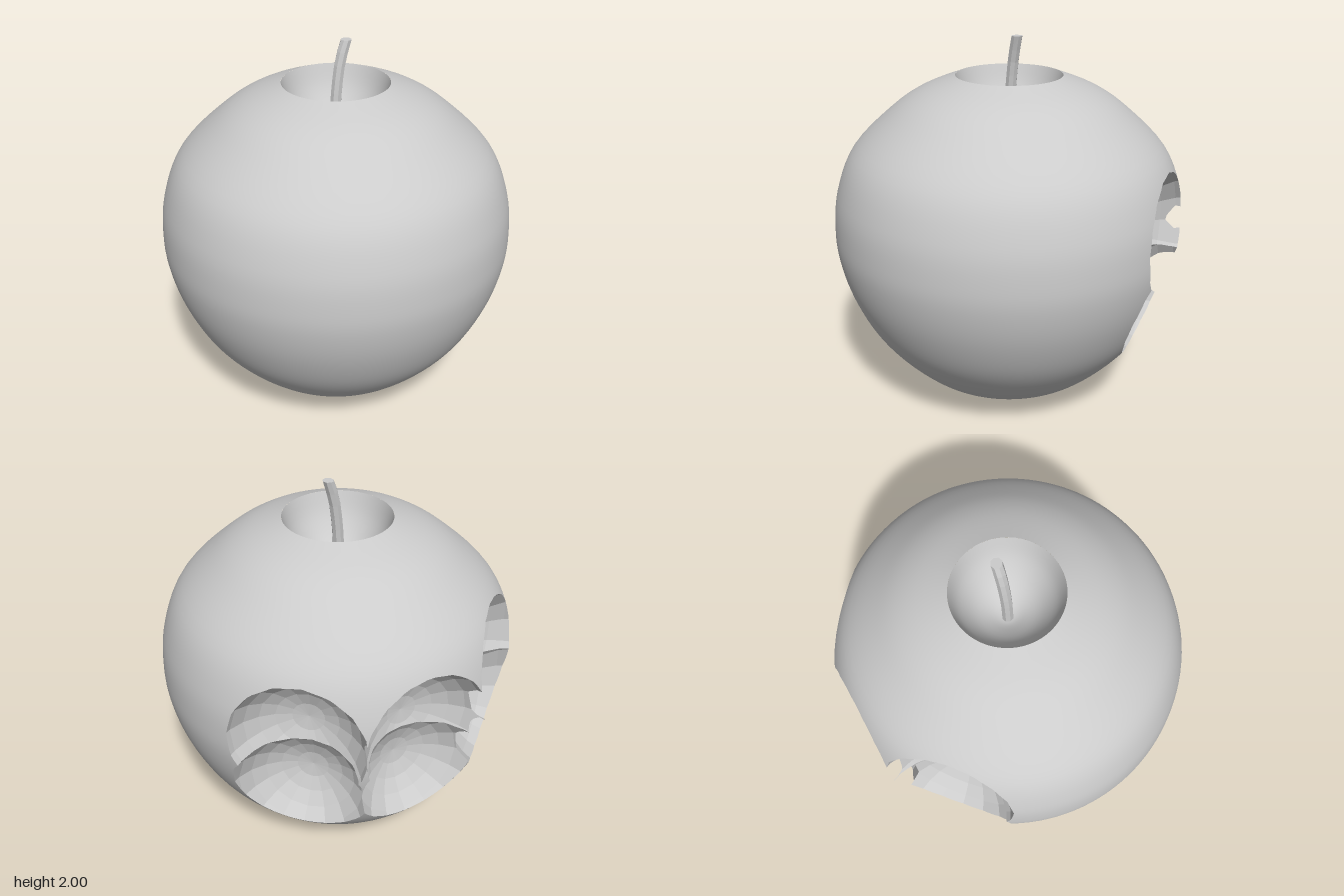
import * as THREE from 'three';

const AXIS_Z = -0.03;
const v2 = (list) => list.map(([x, y]) => new THREE.Vector2(x, y));

// Skin profile, from the bottom dimple up to the rim of the stem hollow
const skinProfile = new THREE.SplineCurve(v2([
  [0, 0.07], [0.1, 0.05], [0.18, 0.012], [0.26, 0.004], [0.4, 0.065], [0.53, 0.145], [0.68, 0.29],
  [0.8, 0.45], [0.89, 0.64], [0.94, 0.82], [0.953, 0.98], [0.93, 1.18], [0.84, 1.4],
  [0.64, 1.6], [0.48, 1.71], [0.285, 1.79],
])).getPoints(75);

// Hollow around the stem
const hollowProfile = new THREE.SplineCurve(v2([
  [0.285, 1.79], [0.24, 1.67], [0.16, 1.56], [0.06, 1.49], [0, 1.48],
])).getPoints(16);

function radiusAt(y) {
  for (let i = skinProfile.length - 1; i > 0; i--) {
    const a = skinProfile[i - 1], b = skinProfile[i];
    if (y >= a.y && y <= b.y) return a.x + (b.x - a.x) * (y - a.y) / (b.y - a.y);
  }
  return 0;
}

// Triangles are kept as lists of three corners { p, n }
function toTriangles(geometry) {
  const g = geometry.index ? geometry.toNonIndexed() : geometry;
  const { position, normal } = g.attributes;
  const corners = [];
  for (let i = 0; i < position.count; i++) {
    corners.push({
      p: new THREE.Vector3().fromBufferAttribute(position, i),
      n: new THREE.Vector3().fromBufferAttribute(normal, i),
    });
  }
  const tris = [];
  for (let i = 0; i < corners.length; i += 3) tris.push(corners.slice(i, i + 3));
  return tris;
}

const mix = (a, b, t) => ({ p: a.p.clone().lerp(b.p, t), n: a.n.clone().lerp(b.n, t).normalize() });

// Split each triangle into four
const subdivide = (tris) => tris.flatMap(([a, b, c]) => {
  const ab = mix(a, b, 0.5), bc = mix(b, c, 0.5), ca = mix(c, a, 0.5);
  return [[a, ab, ca], [ab, b, bc], [ca, bc, c], [ab, bc, ca]];
});

// Keep the part of the triangles where f >= 0
function clip(tris, f) {
  const out = [];
  for (const tri of tris) {
    const d = tri.map((c) => f(c.p));
    if (d.every((x) => x >= 0)) { out.push(tri); continue; }
    if (d.every((x) => x < 0)) continue;
    const poly = [];
    for (let i = 0; i < 3; i++) {
      const j = (i + 1) % 3;
      if (d[i] >= 0) poly.push(tri[i]);
      if ((d[i] >= 0) !== (d[j] >= 0)) poly.push(mix(tri[i], tri[j], d[i] / (d[i] - d[j])));
    }
    for (let i = 2; i < poly.length; i++) out.push([poly[0], poly[i - 1], poly[i]]);
  }
  return out;
}

function toGeometry(tris) {
  const corners = tris.flat();
  const g = new THREE.BufferGeometry();
  g.setAttribute('position', new THREE.Float32BufferAttribute(corners.flatMap((c) => c.p.toArray()), 3));
  g.setAttribute('normal', new THREE.Float32BufferAttribute(corners.flatMap((c) => c.n.toArray()), 3));
  return g;
}

// A faceted ball whose pole points to the core; outside(p) is its signed distance
function makeBite(degrees, y, size) {
  const a = THREE.MathUtils.degToRad(degrees);
  const dir = new THREE.Vector3(-Math.sin(a), 0, -Math.cos(a));
  const centre = dir.clone().multiplyScalar(radiusAt(y) + 0.07).setY(y);
  const ball = new THREE.SphereGeometry(size, 16, 14);
  ball.applyQuaternion(new THREE.Quaternion().setFromUnitVectors(new THREE.Vector3(0, 1, 0), dir));
  ball.translate(centre.x, centre.y, centre.z);
  const tris = toTriangles(ball);
  const planes = tris.map(([p, q, r]) => new THREE.Plane().setFromCoplanarPoints(p.p, q.p, r.p));
  const outside = (p) => {
    const far = p.distanceTo(centre) - size;
    if (far > 0.05) return far;
    let most = -Infinity;
    for (const plane of planes) most = Math.max(most, plane.distanceToPoint(p));
    return most;
  };
  return { tris, outside };
}

export function createModel() {
  const group = new THREE.Group();
  group.name = 'bittenApple';
  const smooth = new THREE.MeshStandardMaterial({ color: 0xcccccc });
  const faceted = new THREE.MeshStandardMaterial({ color: 0xcccccc, flatShading: true });
  const add = (name, geometry, material) => {
    const mesh = new THREE.Mesh(geometry, material);
    mesh.name = name;
    mesh.position.z = AXIS_Z;
    group.add(mesh);
  };

  // Three columns of bites, an upper and a lower one in each
  const bites = [
    [42, 1.12, 0.38], [42, 0.8, 0.38],
    [1, 0.99, 0.38], [1, 0.68, 0.38],
    [-41, 1.0, 0.38], [-41, 0.62, 0.38],
  ].map((b) => makeBite(...b));

  // Skin with the bites cut out
  let skin = toTriangles(new THREE.LatheGeometry(skinProfile, 120));
  for (const bite of bites) skin = clip(skin, bite.outside);
  add('skin', toGeometry(skin), smooth);
  add('stemHollow', new THREE.LatheGeometry(hollowProfile, 60), smooth);

  // Bite surfaces: the inside of each ball, within the apple and outside the other balls
  const insideApple = (p) => radiusAt(p.y) - Math.hypot(p.x, p.z);
  bites.forEach((bite, i) => {
    let tris = clip(subdivide(subdivide(bite.tris)), insideApple);
    bites.forEach((other, j) => { if (j !== i) tris = clip(tris, other.outside); });
    add('bite' + (i + 1), toGeometry(tris.map(([a, b, c]) => [a, c, b])), faceted);
  });

  // Bent stem with its end cut level
  const path = new THREE.CatmullRomCurve3([
    [-0.005, 1.44, 0], [0, 1.66, -0.005], [0.013, 1.79, -0.01], [0.032, 1.9, -0.015], [0.064, 2, -0.02],
  ].map((p) => new THREE.Vector3(...p)));
  const sides = 8, steps = 8;
  const stem = new THREE.TubeGeometry(path, steps, 0.03, sides);
  const cap = new THREE.CircleGeometry(0.03, sides);
  const sp = stem.attributes.position, cp = cap.attributes.position;
  cp.setXYZ(0, 0.064, 2, -0.02);
  for (let i = 0; i <= sides; i++) {
    const k = steps * (sides + 1) + i;
    sp.setY(k, 2);
    cp.setXYZ(i + 1, sp.getX(k), 2, sp.getZ(k));
  }
  cap.computeVertexNormals();
  add('stem', stem, faceted);
  add('stemTip', cap, new THREE.MeshStandardMaterial({ color: 0xcccccc, flatShading: true, side: THREE.DoubleSide }));
  return group;
}
